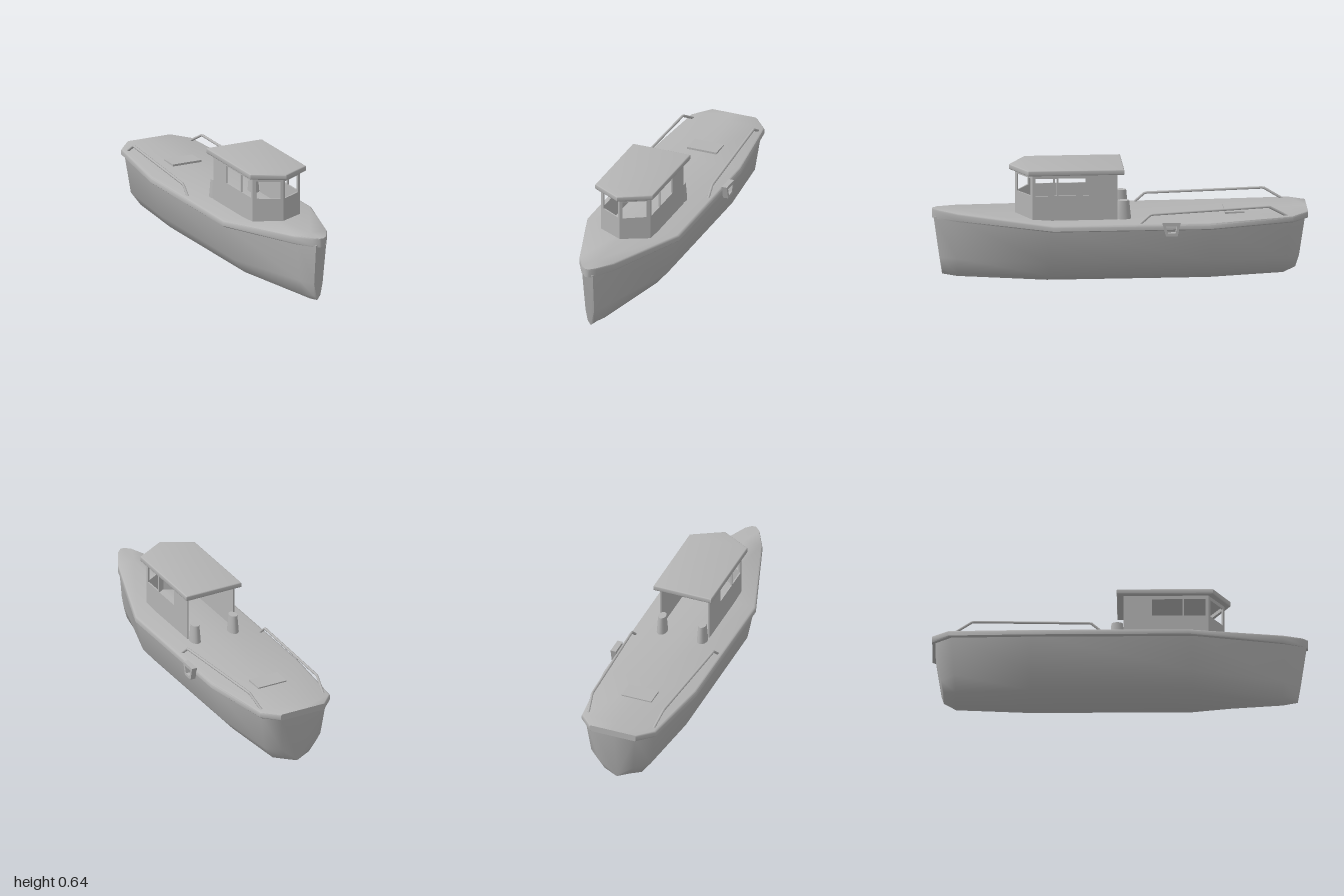
import * as THREE from 'three';
import { toCreasedNormals } from 'three/addons/utils/BufferGeometryUtils.js';

const grey = new THREE.MeshStandardMaterial({ color: 0xb4b4b4 });
grey.name = 'plain grey';

function add(parent, name, geometry, x = 0, y = 0, z = 0) {
  const mesh = new THREE.Mesh(geometry, grey);
  mesh.name = name;
  mesh.position.set(x, y, z);
  parent.add(mesh);
  return mesh;
}

// Mirror a half section (bottom to top, x >= 0) into a closed counter-clockwise ring
function mirrorRing(half) {
  const other = half.filter(p => p[0] > 0).reverse().map(([x, y, z]) => [-x, y, z]);
  return [...half, ...other];
}

// Skin rings listed from bow to stern, with closed ends
function loft(rings, crease) {
  const n = rings[0].length, last = (rings.length - 1) * n, index = [];
  for (let i = 0; i < rings.length - 1; i++) {
    for (let j = 0; j < n; j++) {
      const k = (j + 1) % n, a = i * n + j, b = i * n + k, c = a + n, d = b + n;
      index.push(a, c, b, b, c, d);
    }
  }
  for (let j = 1; j < n - 1; j++) {
    index.push(0, j, j + 1, last, last + j + 1, last + j);
  }
  const g = new THREE.BufferGeometry();
  g.setAttribute('position', new THREE.Float32BufferAttribute(rings.flat(2), 3));
  g.setIndex(index);
  return toCreasedNormals(g, crease);
}

function polygon(points, Type = THREE.Shape) {
  return new Type(points.map(([x, y]) => new THREE.Vector2(x, y)));
}

// Upright wall from a to b (x, z); windows are spans along its length
function wall(parent, name, a, b, windows) {
  const t = 0.008, y0 = 0.345, y1 = 0.615;
  const d = new THREE.Vector3(b[0] - a[0], 0, b[1] - a[1]);
  const len = d.length();
  d.normalize();
  const up = new THREE.Vector3(0, 1, 0), n = d.clone().cross(up);
  const shape = polygon([[0, y0], [len, y0], [len, y1], [0, y1]]);
  for (const [f0, f1] of windows) {
    const u = f0 * len, v = f1 * len;
    shape.holes.push(polygon([[u, 0.495], [u, 0.59], [v, 0.59], [v, 0.495]], THREE.Path));
  }
  const g = new THREE.ExtrudeGeometry(shape, { depth: t, bevelEnabled: false });
  g.applyMatrix4(new THREE.Matrix4().makeBasis(d, up, n));
  add(parent, name, g, a[0] - n.x * t, 0, a[1] - n.z * t);
}

export function createModel() {
  const model = new THREE.Group();
  model.name = 'boat';
  const boat = new THREE.Group();
  boat.name = 'vessel';
  boat.position.x = -0.014;
  model.add(boat);

  // Hull: half widths at gunwale, upper chine and lower chine, then keel height
  const hullStations = [
    // zTop, zBottom, gunwale, upper, lower, gunwaleY, lowerY, keelY
    [0.985, 0.94, 0.03, 0.025, 0.018, 0.365, 0.07, 0.045],
    [0.87, 0.86, 0.085, 0.065, 0.045, 0.36, 0.06, 0.03],
    [0.38, 0.38, 0.25, 0.21, 0.143, 0.335, 0.06, 0],
    [-0.48, -0.48, 0.25, 0.21, 0.143, 0.335, 0.06, 0],
    [-0.9, -0.875, 0.2, 0.17, 0.115, 0.355, 0.065, 0.02],
    [-0.985, -0.94, 0.12, 0.1, 0.07, 0.36, 0.085, 0.05],
  ];
  const hullRings = hullStations.map(([zt, zb, w, wu, wl, yt, yl, yk]) => mirrorRing([
    [0, yk, zb],
    [wl, yl, zb],
    [wu, 0.14, zb + (zt - zb) * 0.3],
    [w, yt, zt],
    [0, yt, zt],
  ]));
  add(boat, 'hull', loft(hullRings, 0.95));

  // Deck slab with a rounded rim that follows the sheer
  const deckStations = [
    // z, half width, top, underside
    [0.993, 0.012, 0.404, 0.356],
    [0.965, 0.042, 0.404, 0.355],
    [0.86, 0.1, 0.396, 0.35],
    [0.365, 0.265, 0.36, 0.325],
    [-0.47, 0.265, 0.362, 0.325],
    [-0.915, 0.212, 0.381, 0.345],
    [-1, 0.132, 0.386, 0.35],
  ];
  const deckRings = deckStations.map(([z, w, top, low]) => mirrorRing([
    [0, low, z],
    [w * 0.97, low, z],
    [w, low + 0.006, z],
    [w, top - 0.01, z],
    [w * 0.985, top - 0.003, z],
    [w * 0.95, top, z],
    [0, top, z],
  ]));
  add(boat, 'deck', loft(deckRings, 0.8));

  // Wheelhouse: pointed front, open back
  const cabin = new THREE.Group();
  cabin.name = 'wheelhouse';
  boat.add(cabin);
  const apex = [0, 0.55], w = 0.142, zc = 0.467, zb = 0.016;
  const front = [[0.1, 0.88]], side = [[0.033, 0.285], [0.305, 0.667]];
  const flip = spans => spans.map(([p, q]) => [1 - q, 1 - p]);
  wall(cabin, 'leftFrontWall', apex, [w, zc], front);
  wall(cabin, 'leftSideWall', [w, zc], [w, zb], side);
  wall(cabin, 'rightFrontWall', [-w, zc], apex, flip(front));
  wall(cabin, 'rightSideWall', [-w, zb], [-w, zc], flip(side));

  // Roof with softened edges
  const b = 0.006, rw = 0.166 - b;
  const roofShape = polygon([[-rw, 0.014], [rw, 0.014], [rw, -0.488], [0, -0.577], [-rw, -0.488]].reverse());
  const roof = new THREE.ExtrudeGeometry(roofShape, {
    depth: 0.018, bevelThickness: b, bevelSize: b, bevelSegments: 3,
  });
  roof.rotateX(-Math.PI / 2);
  add(cabin, 'roof', toCreasedNormals(roof, 0.7), 0, 0.616, 0);

  for (const s of [1, -1]) {
    const label = s > 0 ? 'left' : 'right';

    // Tapered vents beside the cabin opening
    const vent = new THREE.CylinderGeometry(0.021, 0.029, 0.11, 20);
    vent.scale(1, 1, 1.45);
    add(boat, label + 'Vent', vent, s * 0.115, 0.405, -0.018);

    // Handrails along the aft deck
    const points = [
      [0.236, 0.35, -0.09], [0.234, 0.408, -0.155],
      [0.204, 0.433, -0.785], [0.187, 0.375, -0.885],
    ].map(([x, y, z]) => new THREE.Vector3(s * x, y, z));
    const path = new THREE.CurvePath();
    for (let i = 0; i < 3; i++) path.add(new THREE.LineCurve3(points[i], points[i + 1]));
    add(boat, label + 'Handrail', new THREE.TubeGeometry(path, 60, 0.007, 8, false));
  }

  // Low hatch on the aft deck
  add(boat, 'hatch', new THREE.BoxGeometry(0.17, 0.024, 0.105), 0, 0.365, -0.613);

  // Trapezoid ring bracket on the left side
  const ring = polygon([[0.232, 0.302], [0.294, 0.302], [0.311, 0.375], [0.212, 0.375]]);
  ring.holes.push(polygon([[0.243, 0.317], [0.232, 0.357], [0.292, 0.357], [0.283, 0.317]], THREE.Path));
  const bracket = new THREE.ExtrudeGeometry(ring, { depth: 0.03, bevelEnabled: false });
  bracket.rotateY(Math.PI / 2);
  add(boat, 'sideBracket', bracket, 0.263, 0, 0);

  return model;
}
